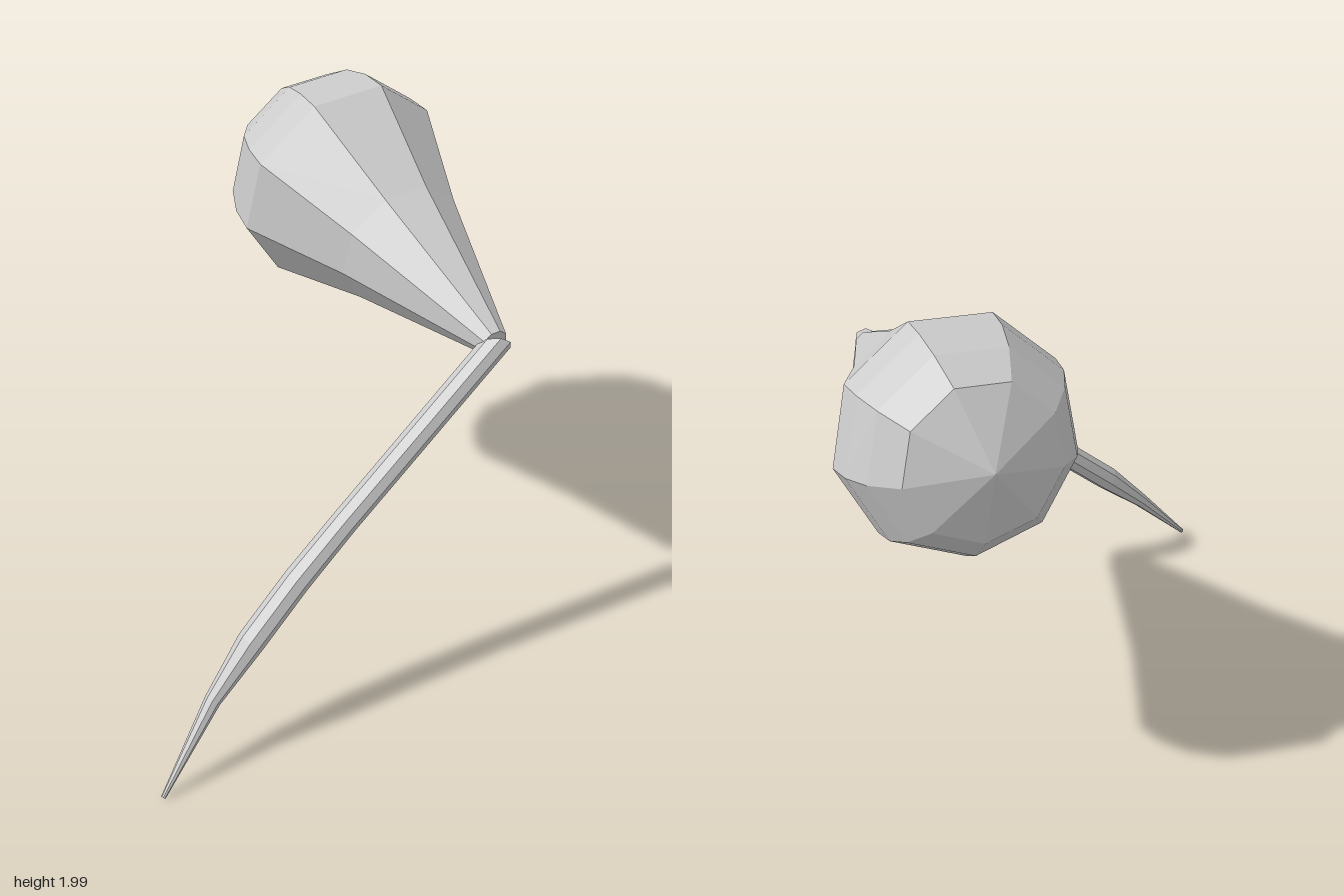
import * as THREE from 'three';

const V = (x, y, z) => new THREE.Vector3(x, y, z);
const material = new THREE.MeshStandardMaterial({ color: 0xcccccc, flatShading: true });

// Nine-sided pear: a cone widening into a hemisphere, turned onto a tilted axis.
function makeBulb() {
  const R = 0.437;
  const apex = V(0.55, 1.66, -0.812);
  const axis = V(0.02, 0.183, -0.983).normalize();
  const profile = [[0, -1.5], [0.055, -1.5], [0.262, -0.87]];
  for (let i = 0; i <= 4; i++) {
    const h = (i / 4) * R;
    profile.push([Math.sqrt(Math.max(0, R * R - h * h)), h - R]);
  }
  const points = profile.map(([r, t]) => new THREE.Vector2(r, t));
  const geometry = new THREE.LatheGeometry(points, 9, THREE.MathUtils.degToRad(-94));

  const side = V(0, 1, 0).cross(axis).normalize();
  const up = axis.clone().cross(side);
  const matrix = new THREE.Matrix4().makeBasis(up, axis, side).setPosition(apex);
  geometry.applyMatrix4(matrix);
  const mesh = new THREE.Mesh(geometry, material);
  mesh.name = 'bulb';
  return mesh;
}

// Eight-sided bent stem, tapered to a point and mitred where it meets the bulb.
function makeStem() {
  const sides = 8;
  // centre, radius, slant of the ring along the stem
  const stations = [
    [V(-0.97, 0.012, 0.805), 0.009, 0],
    [V(-0.715, 0.297, 0.727), 0.031, 0],
    [V(-0.535, 0.475, 0.70), 0.052, 0],
    [V(-0.33, 0.66, 0.682), 0.052, 0],
    [V(-0.12, 0.838, 0.673), 0.05, 0],
    [V(0.512, 1.385, 0.673), 0.05, 0.9],
  ];
  const last = stations.length - 1;
  const positions = [];
  const index = [];
  stations.forEach(([c, r, slant], i) => {
    const before = stations[Math.max(i - 1, 0)][0];
    const after = stations[Math.min(i + 1, last)][0];
    const t = after.clone().sub(before).normalize();
    const w = V(0, 0, 1).addScaledVector(t, -t.z).normalize();
    const v = t.clone().cross(w);
    for (let j = 0; j < sides; j++) {
      const a = (j / sides) * Math.PI * 2;
      const p = c.clone()
        .addScaledVector(w, r * Math.cos(a))
        .addScaledVector(v, r * Math.sin(a))
        .addScaledVector(t, slant * r * Math.cos(a));
      positions.push(p.x, p.y, p.z);
    }
  });
  for (let i = 0; i < last; i++) {
    for (let j = 0; j < sides; j++) {
      const k = (j + 1) % sides;
      const a = i * sides + j, b = i * sides + k;
      index.push(a, b, a + sides, b, b + sides, a + sides);
    }
  }
  // end caps
  const e = last * sides;
  for (let j = 1; j < sides - 1; j++) {
    index.push(0, j + 1, j, e, e + j, e + j + 1);
  }
  const geometry = new THREE.BufferGeometry();
  geometry.setAttribute('position', new THREE.Float32BufferAttribute(positions, 3));
  geometry.setIndex(index);
  geometry.computeVertexNormals();
  const mesh = new THREE.Mesh(geometry, material);
  mesh.name = 'stem';
  return mesh;
}

export function createModel() {
  const group = new THREE.Group();
  group.name = 'bulbOnStem';
  group.add(makeBulb(), makeStem());
  return group;
}
